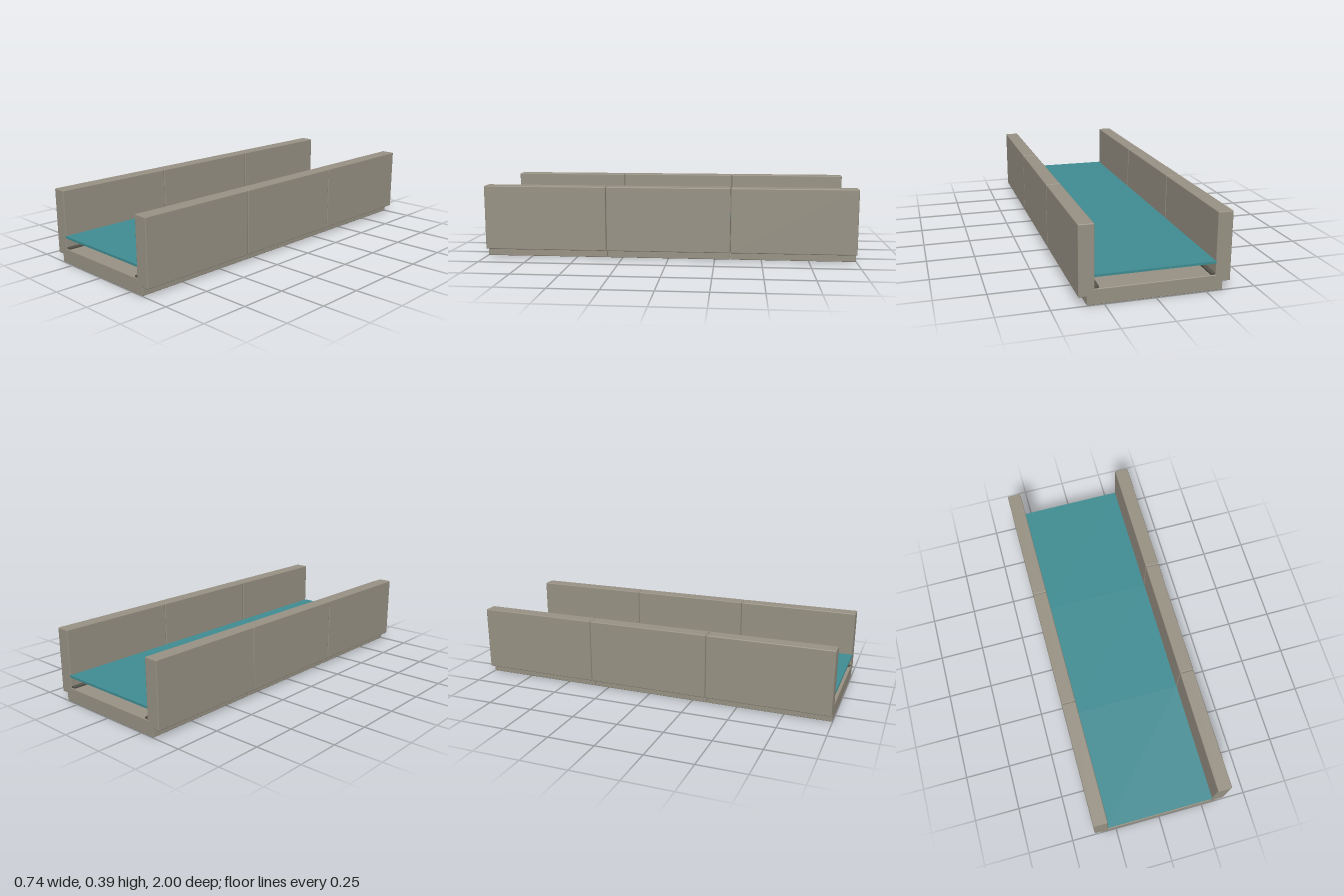
import * as THREE from 'three';
import { RoundedBoxGeometry } from 'three/addons/geometries/RoundedBoxGeometry.js';

const stone = new THREE.MeshStandardMaterial({ color: 0x979183 });
const water = new THREE.MeshStandardMaterial({ color: 0x3f8c92 });
const dark = new THREE.MeshStandardMaterial({ color: 0x55524a });

const SEGMENTS = 3;
const PITCH = 2 / SEGMENTS;
const LENGTH = PITCH - 0.002;

// Box given by its x and y limits, running along z; bevel 0 keeps sharp edges
function bar(name, x0, x1, y0, y1, length, material, bevel = 0) {
  const size = [x1 - x0, y1 - y0, length];
  const geometry = bevel
    ? new RoundedBoxGeometry(...size, 1, bevel)
    : new THREE.BoxGeometry(...size);
  const mesh = new THREE.Mesh(geometry, material);
  mesh.name = name;
  mesh.position.set((x0 + x1) / 2, (y0 + y1) / 2, 0);
  return mesh;
}

// One length of channel: floor slab, two side walls, corner strips and water
function channelSegment(index) {
  const segment = new THREE.Group();
  segment.name = `channelSegment${index + 1}`;

  segment.add(bar('floorSlab', -0.333, 0.333, 0.001, 0.08, LENGTH, stone, 0.004));
  segment.add(bar('waterSurface', -0.297, 0.297, 0.138, 0.15, PITCH - 0.001, water));

  for (const [side, s] of [['left', 1], ['right', -1]]) {
    const span = (a, b) => (s > 0 ? [a, b] : [-b, -a]);
    segment.add(bar(`${side}Wall`, ...span(0.295, 0.372), 0.044, 0.392, LENGTH, stone, 0.005));
    segment.add(bar(`${side}CornerStrip`, ...span(0.273, 0.297), 0.079, 0.089, LENGTH - 0.01, dark));
  }
  return segment;
}

export function createModel() {
  const model = new THREE.Group();
  model.name = 'waterChannel';
  for (let i = 0; i < SEGMENTS; i++) {
    const segment = channelSegment(i);
    segment.position.z = (i - (SEGMENTS - 1) / 2) * PITCH;
    model.add(segment);
  }
  return model;
}
